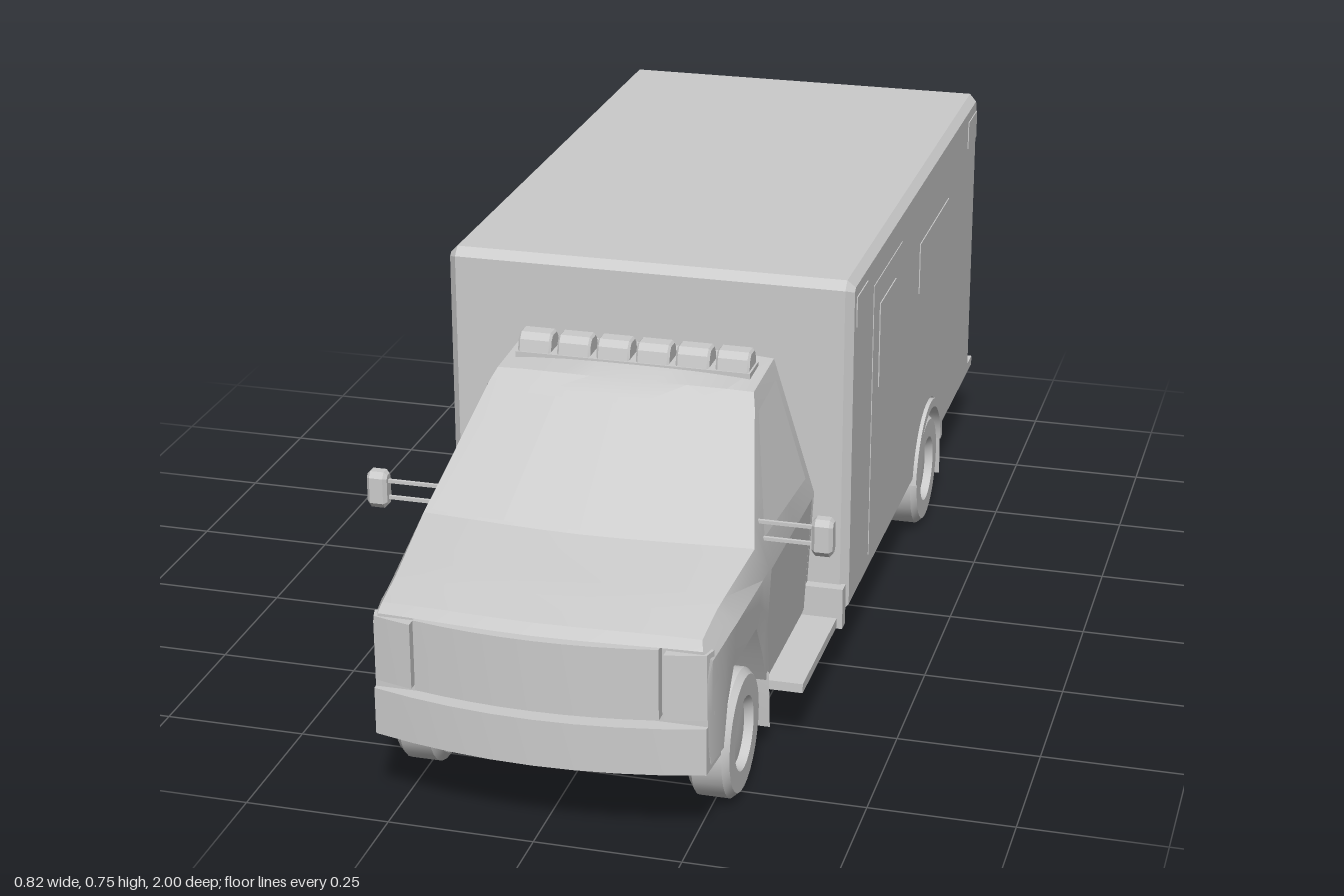
import * as THREE from 'three';
import { toCreasedNormals } from 'three/addons/utils/BufferGeometryUtils.js';

const grey = new THREE.MeshStandardMaterial({ color: 0xcccccc, side: THREE.DoubleSide });

export function createModel() {
  const model = new THREE.Group();
  const add = (name, geo) => {
    const mesh = new THREE.Mesh(toCreasedNormals(geo, 0.45), grey);
    mesh.name = name;
    model.add(mesh);
    return mesh;
  };
  // box given by its ranges along x, y and z
  const block = (name, x0, x1, y0, y1, z0, z1) =>
    add(name, new THREE.BoxGeometry(Math.abs(x1 - x0), y1 - y0, z1 - z0)
      .translate((x0 + x1) / 2, (y0 + y1) / 2, (z0 + z1) / 2));
  // side outline (z, y) extruded across x
  const sidePart = (name, shape, x0, x1, bevel = 0) =>
    add(name, new THREE.ExtrudeGeometry(shape, {
      depth: x1 - x0 - 2 * bevel, bevelEnabled: bevel > 0, bevelSize: bevel, bevelThickness: bevel,
      bevelOffset: -bevel, bevelSegments: 1, curveSegments: 16,
    }).rotateY(-Math.PI / 2).translate(x1 - bevel, 0, 0));
  // plan outline (x, z) extruded up y
  const planPart = (name, pts, y0, h) =>
    add(name, new THREE.ExtrudeGeometry(new THREE.Shape(pts.map(([x, z]) => new THREE.Vector2(x, -z))),
      { depth: h, bevelEnabled: false }).rotateX(-Math.PI / 2).translate(0, y0, 0));
  // flat convex panel through corner points
  const panel = (name, pts) => {
    const pos = [];
    for (let i = 1; i < pts.length - 1; i++) pos.push(...pts[0], ...pts[i], ...pts[i + 1]);
    const g = new THREE.BufferGeometry();
    g.setAttribute('position', new THREE.Float32BufferAttribute(pos, 3));
    return add(name, g);
  };

  // rear compartment with wheel arches
  const body = new THREE.Shape();
  const bodyCorners = [[-0.9, 0.13], [-0.9, 0.74], [-0.885, 0.755], [0.29, 0.755], [0.305, 0.74], [0.305, 0.13]];
  bodyCorners.forEach(([z, y], i) => (i ? body.lineTo(z, y) : body.moveTo(z, y)));
  body.absarc(-0.43, 0.115, 0.125, 0.12, Math.PI - 0.12, false);
  body.closePath();
  sidePart('compartment', body, -0.366, 0.366, 0.014);
  block('compartmentFloor', -0.285, 0.285, 0.131, 0.7, -0.88, 0.29);

  // cab: [side z, centre z, bottom y, bottom x, belt x, belt y, shoulder x, shoulder y, centre y]
  const sections = [
    [0.952, 0.988, 0.2, 0.28, 0.28, 0.3, 0.272, 0.355, 0.366],
    [0.94, 0.975, 0.15, 0.283, 0.285, 0.335, 0.268, 0.37, 0.383],
    [0.88, 0.9, 0.15, 0.288, 0.292, 0.345, 0.27, 0.382, 0.396],
    [0.86, 0.88, 0.22, 0.289, 0.293, 0.347, 0.271, 0.386, 0.4],
    [0.825, 0.85, 0.27, 0.29, 0.296, 0.35, 0.274, 0.392, 0.404],
    [0.68, 0.72, 0.27, 0.292, 0.303, 0.36, 0.288, 0.415, 0.425],
    [0.635, 0.673, 0.2, 0.292, 0.303, 0.36, 0.276, 0.451, 0.46],
    [0.6, 0.636, 0.135, 0.29, 0.303, 0.36, 0.267, 0.48, 0.487],
    [0.475, 0.505, 0.135, 0.29, 0.303, 0.36, 0.236, 0.58, 0.588],
    [0.45, 0.47, 0.135, 0.29, 0.303, 0.36, 0.228, 0.598, 0.606],
    [0.3, 0.3, 0.135, 0.29, 0.303, 0.36, 0.228, 0.605, 0.612],
  ];
  const rings = sections.map(([zs, zc, yb, xb, xc, yc, xd, yd, yt]) => {
    const half = [[0, yb, zs], [xb, yb, zs], [(xb + xc) / 2, (yb + yc) / 2, zs], [xc, yc, zs]];
    for (const t of [1, 0.8, 0.5, 0.25]) half.push([xd * t, yt - (yt - yd) * t ** 3, zc - (zc - zs) * t * t]);
    return [...half, [0, yt, zc], ...half.slice(1).reverse().map(([x, y, z]) => [-x, y, z])];
  });
  const n = rings[0].length, index = [];
  for (let s = 0; s < rings.length - 1; s++) {
    for (let i = 0; i < n; i++) {
      const a = s * n + i, b = s * n + (i + 1) % n;
      index.push(a, b, a + n, b, b + n, a + n);
    }
  }
  // nose and back closed by strips across x
  for (const [base, flip] of [[0, false], [(rings.length - 1) * n, true]]) {
    for (let i = 0; i < n / 2 - 1; i++) {
      const q = [i, i + 1, n - 1 - i, (n - i) % n].map((k) => base + k);
      if (flip) index.push(q[0], q[2], q[1], q[0], q[3], q[2]);
      else index.push(q[0], q[1], q[2], q[0], q[2], q[3]);
    }
  }
  const cab = new THREE.BufferGeometry();
  cab.setAttribute('position', new THREE.Float32BufferAttribute(rings.flat(2), 3));
  cab.setIndex(index);
  add('cab', cab);

  // windshield, following the curve of the cab
  const arcRow = (x, y, zs, zc) => [-1, -0.5, 0, 0.5, 1].map((t) => [x * t, y + 0.008 * (1 - t * t), zc - (zc - zs) * t * t]);
  const low = arcRow(0.272, 0.424, 0.684, 0.719), high = arcRow(0.208, 0.575, 0.494, 0.522);
  for (let i = 0; i < 4; i++) panel('windshield', [low[i], low[i + 1], high[i + 1], high[i]]);

  // nose: bumper, grille and hood edge, all curved in plan
  const noseZ = (x) => 0.99 - 0.04 * (x / 0.28) ** 2;
  const noseArc = (w, out) => [-1, -0.75, -0.5, -0.25, 0, 0.25, 0.5, 0.75, 1].map((t) => [w * t, noseZ(w * t) + out]);
  planPart('frontBumper', [[-0.285, 0.885], ...noseArc(0.28, 0.01), [0.285, 0.885]], 0.14, 0.083);
  planPart('grille', [[-0.205, 0.94], ...noseArc(0.205, 0.004), [0.205, 0.94]], 0.235, 0.125);

  // rear step bumper
  block('rearStep', -0.185, 0.185, 0.118, 0.13, -1, -0.82);
  block('frontAxle', -0.22, 0.22, 0.095, 0.145, 0.71, 0.79);
  block('chassis', -0.14, 0.14, 0.13, 0.27, 0.6, 0.9);
  add('rearAxle', new THREE.CylinderGeometry(0.025, 0.025, 0.6, 10).rotateZ(Math.PI / 2).translate(0, 0.11, -0.43));

  // rear doors
  for (const s of [-1, 1]) {
    block('rearDoor', s * 0.002, s * 0.172, 0.17, 0.67, -0.903, -0.895);
    const win = new THREE.Shape([[0.03, 0.49], [0.115, 0.49], [0.135, 0.51], [0.135, 0.6], [0.115, 0.62], [0.03, 0.62]]
      .map(([x, y]) => new THREE.Vector2(s * x, y)));
    add('rearDoorWindow', new THREE.ExtrudeGeometry(win, { depth: 0.004, bevelEnabled: false }).translate(0, 0, -0.906));
    block('rearLamp', s * 0.29, s * 0.33, 0.24, 0.34, -0.908, -0.895);
  }
  // left side window and door
  block('sideWindow', 0.36, 0.368, 0.525, 0.625, -0.59, -0.3);
  block('sideDoor', 0.36, 0.3675, 0.17, 0.69, -0.12, 0.13);
  block('sideDoorWindow', 0.36, 0.3695, 0.48, 0.64, -0.06, 0.08);

  // wheel profile from hub back, around the tyre, to the recessed rim
  const tyre = [[0, -0.037], [0.095, -0.037], [0.11, -0.026], [0.11, 0.026], [0.1, 0.037], [0.064, 0.037], [0.058, 0.022], [0, 0.026]]
    .map(([r, y]) => new THREE.Vector2(r, y));
  for (const s of [-1, 1]) {
    for (const [name, x, z] of [['frontWheel', 0.253, 0.75], ['rearWheel', 0.331, -0.43]]) {
      add(name, new THREE.LatheGeometry(tyre, 28).rotateZ(-s * Math.PI / 2).translate(s * x, 0.11, z));
    }
    // rear wheel arch trim
    const arch = new THREE.Shape();
    arch.absarc(-0.43, 0.115, 0.137, 0.1, Math.PI - 0.1, false);
    arch.absarc(-0.43, 0.115, 0.12, Math.PI - 0.1, 0.1, true);
    arch.closePath();
    sidePart('rearArch', arch, s > 0 ? 0.29 : -0.373, s > 0 ? 0.373 : -0.29);
    // mud flaps
    for (const [name, x0, x1, z, y0] of [['frontMudFlap', 0.19, 0.295, 0.598, 0.04], ['rearMudFlap', 0.285, 0.366, -0.578, 0.035]]) {
      panel(name, [[s * x0, 0.15, z], [s * x1, 0.15, z], [s * x1, 0.09, z - 0.003], [s * x1, y0, z - 0.009],
        [s * x0, y0, z - 0.009], [s * x0, 0.09, z - 0.003]]);
    }
    // cab step with riser against the compartment
    block('cabStep', s * 0.27, s * 0.352, 0.113, 0.13, 0.3, 0.59);
    block('stepRiser', s * 0.28, s * 0.362, 0.11, 0.187, 0.3, 0.325);
    block('rearStepEnd', s * 0.185, s * 0.355, 0.118, 0.137, -1, -0.82);
    // cab door and its window
    panel('cabDoor', [[s * 0.294, 0.145, 0.335], [s * 0.3, 0.25, 0.335], [s * 0.306, 0.36, 0.335],
      [s * 0.306, 0.36, 0.635], [s * 0.3, 0.25, 0.635], [s * 0.294, 0.145, 0.595]]);
    panel('cabWindow', [[s * 0.295, 0.4, 0.34], [s * 0.24, 0.58, 0.34], [s * 0.241, 0.572, 0.468], [s * 0.29, 0.41, 0.62]]);
    // wrap-round headlamp
    planPart('headlamp', [[s * 0.212, 0.93], [s * 0.212, noseZ(0.212) + 0.003], [s * 0.25, noseZ(0.25) + 0.003],
      [s * 0.279, 0.953], [s * 0.285, 0.93]], 0.235, 0.115);
    // mirror on two arms
    const m = new THREE.Shape([[0.603, 0.4], [0.611, 0.39], [0.627, 0.39], [0.635, 0.4], [0.635, 0.446], [0.627, 0.456], [0.611, 0.456], [0.603, 0.446]]
      .map(([z, y]) => new THREE.Vector2(z, y)));
    sidePart('mirror', m, s > 0 ? 0.372 : -0.408, s > 0 ? 0.408 : -0.372, 0.006);
    for (const y of [0.408, 0.438]) block('mirrorArm', s * 0.265, s * 0.376, y - 0.003, y + 0.003, 0.616, 0.622);
    // corner marker lamps high on the compartment
    for (const z of [-0.84, 0.23]) block('markerLamp', s * 0.36, s * 0.368, 0.665, 0.72, z - 0.045, z + 0.045);
  }

  // roof light bar
  block('lightBarBase', -0.21, 0.21, 0.598, 0.612, 0.345, 0.405);
  for (let i = 0; i < 6; i++) {
    const x = (i - 2.5) * 0.071;
    const lamp = new THREE.Shape([[0.347, 0.61], [0.403, 0.61], [0.398, 0.633], [0.388, 0.644], [0.362, 0.644], [0.352, 0.633]]
      .map(([z, y]) => new THREE.Vector2(z, y)));
    sidePart('roofLamp', lamp, x - 0.03, x + 0.03, 0.004);
  }
  return model;
}
